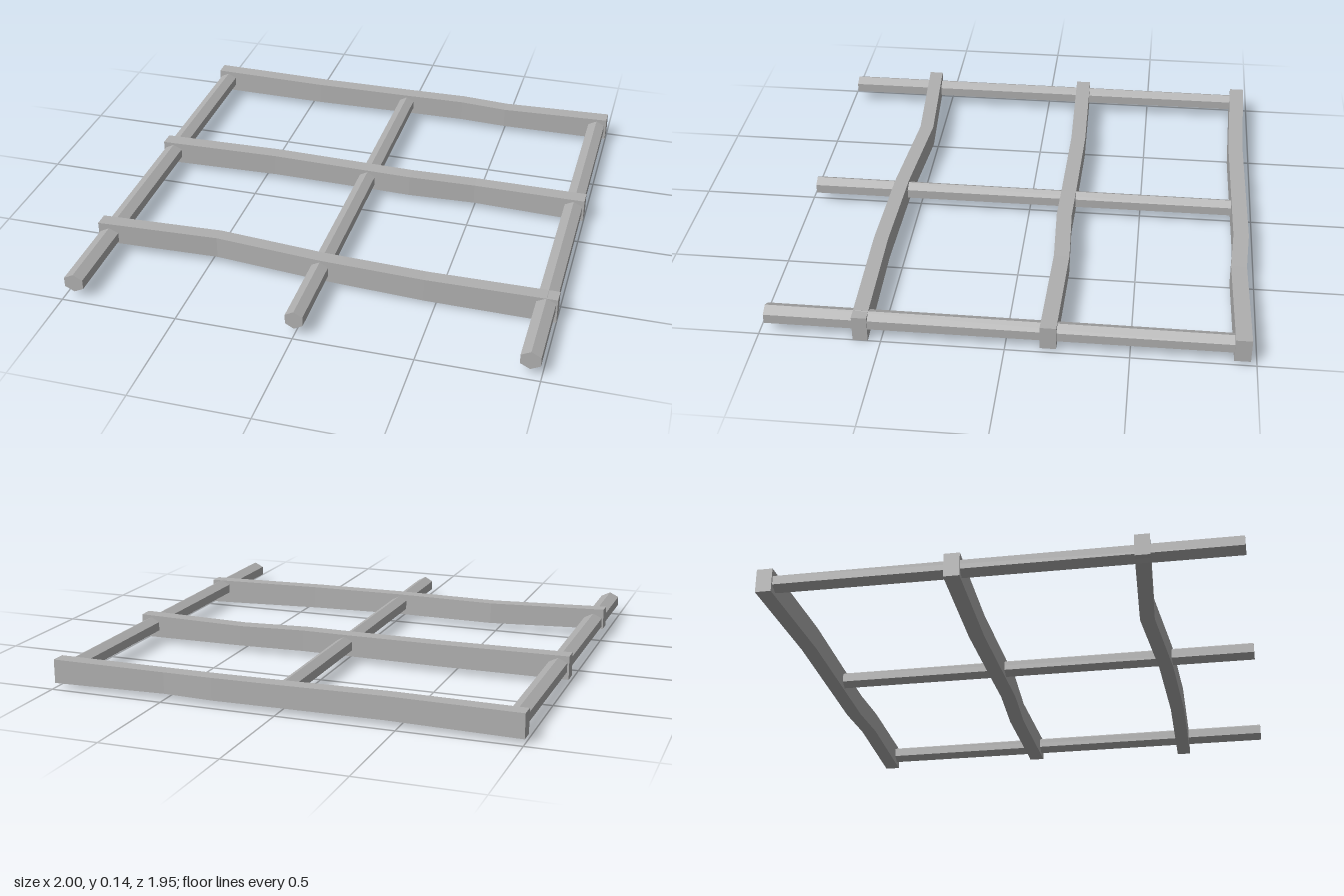
import * as THREE from 'three';

const wood = new THREE.MeshStandardMaterial({ color: 0xb0b0b0, flatShading: true });
wood.name = 'greyWood';

// Hexagonal pole along z, tapering slightly towards the back
function pole(name, x, widen) {
  const geo = new THREE.CylinderGeometry(0.041, 0.038, 1.93, 6);
  geo.rotateX(Math.PI / 2).scale(widen, 1, 1);
  const mesh = new THREE.Mesh(geo, wood);
  mesh.name = name;
  mesh.position.set(x, 0.073, 0.01);
  return mesh;
}

// Rectangular rail along x, lofted through sections [x, z centre, bottom, top]
function rail(name, depth, sections) {
  const geo = new THREE.BoxGeometry(2, 1, 1, sections.length - 1, 1, 1);
  const p = geo.attributes.position;
  for (let i = 0; i < p.count; i++) {
    const s = sections[Math.round((p.getX(i) + 1) / 2 * (sections.length - 1))];
    p.setXYZ(i, s[0], p.getY(i) > 0 ? s[3] : s[2], s[1] + p.getZ(i) * depth);
  }
  geo.computeVertexNormals();
  const mesh = new THREE.Mesh(geo, wood);
  mesh.name = name;
  return mesh;
}

export function createModel() {
  const group = new THREE.Group();
  group.name = 'railFrame';

  // Long poles
  group.add(
    pole('rightPole', -0.953, 1.15),
    pole('middlePole', 0, 1.04),
    pole('leftPole', 0.953, 1.15)
  );

  // Uneven crossing rails
  group.add(
    rail('backRail', 0.066, [
      [-1, -0.945, 0.02, 0.122], [-0.45, -0.93, 0.024, 0.122], [0, -0.938, 0.025, 0.12],
      [0.28, -0.943, 0.025, 0.12], [0.5, -0.93, 0.025, 0.116], [1, -0.942, 0.02, 0.122]
    ]),
    rail('middleRail', 0.066, [
      [-1, -0.173, 0.02, 0.122], [-0.45, -0.187, 0.024, 0.122], [0, -0.178, 0.025, 0.12],
      [0.2, -0.173, 0.025, 0.12], [0.5, -0.187, 0.025, 0.116], [1, -0.174, 0.02, 0.122]
    ]),
    rail('frontRail', 0.062, [
      [-1, 0.581, 0.043, 0.135], [-0.47, 0.546, 0.031, 0.127], [0, 0.583, 0.024, 0.122],
      [0.45, 0.595, 0.013, 0.117], [1, 0.583, 0, 0.112]
    ])
  );
  return group;
}
